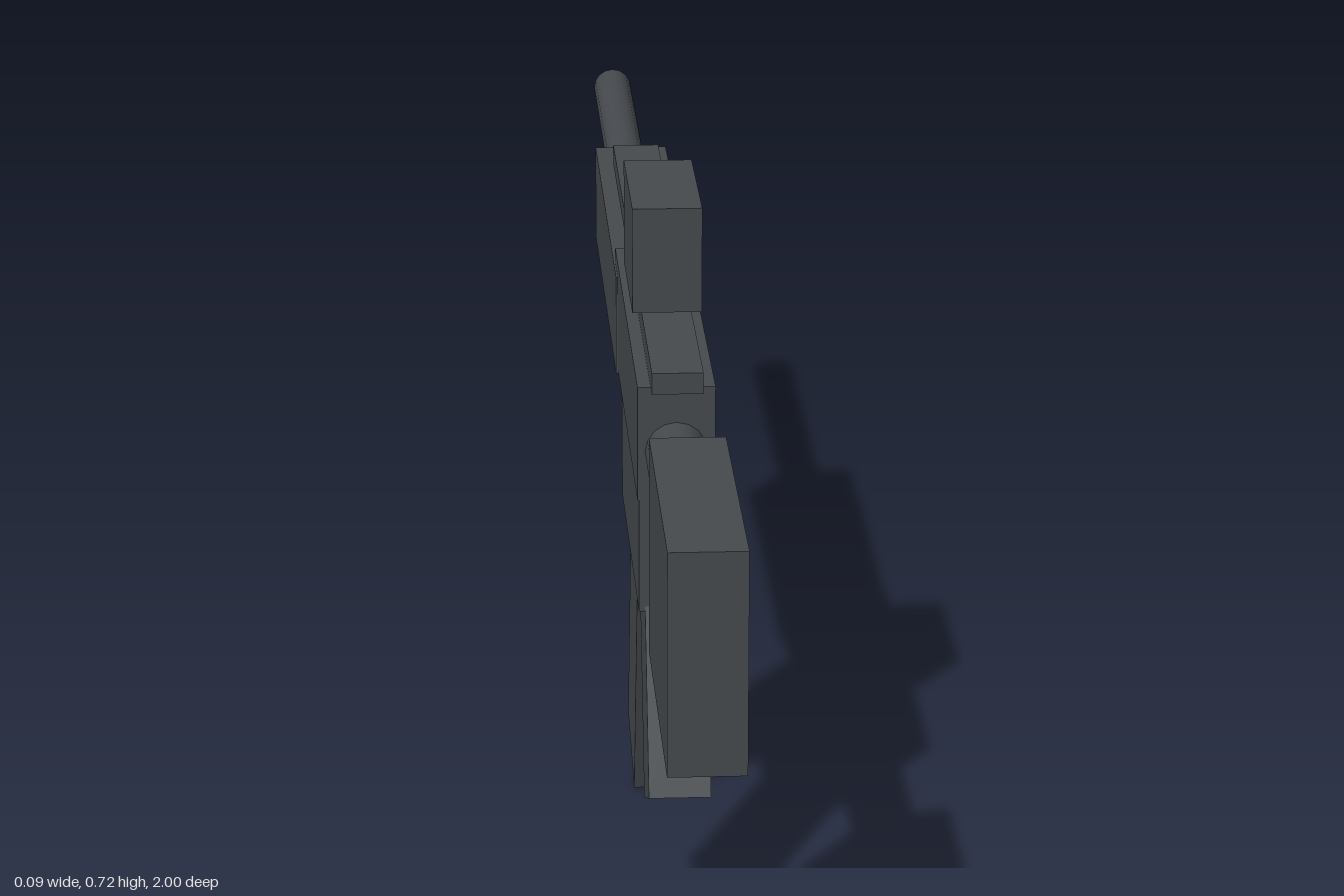
import * as THREE from 'three';

export function createModel() {
  const group = new THREE.Group();
  const gunmetal = new THREE.MeshStandardMaterial({ color: 0x464a4e });
  gunmetal.name = 'gunmetal grey';

  const add = (name, geometry) => {
    const mesh = new THREE.Mesh(geometry, gunmetal);
    mesh.name = name;
    group.add(mesh);
    return mesh;
  };

  // Upright block given by its width and its y and z limits
  const block = (name, width, y0, y1, z0, z1) =>
    add(name, new THREE.BoxGeometry(width, y1 - y0, z1 - z0))
      .position.set(0, (y0 + y1) / 2, (z0 + z1) / 2);

  // Round bar lying along z
  const bar = (name, radius, y, z0, z1) =>
    add(name, new THREE.CylinderGeometry(radius, radius, z1 - z0, 16).rotateX(Math.PI / 2))
      .position.set(0, y, (z0 + z1) / 2);

  // Leaning block, placed by the middle of its lower end
  const leaning = (name, width, length, depth, y, z, angle) => {
    const mesh = add(name, new THREE.BoxGeometry(width, length, depth).translate(0, length / 2, 0));
    mesh.position.set(0, y, z);
    mesh.rotation.x = angle;
  };

  // Rear stock and its tube
  block('stock', 0.078, 0.36, 0.59, 0.667, 1);
  bar('stockTube', 0.033, 0.508, 0.46, 0.68);

  // Body
  block('upperReceiver', 0.082, 0.455, 0.58, -0.025, 0.476);
  block('lowerReceiver', 0.079, 0.33, 0.456, 0.103, 0.476);
  block('handguard', 0.086, 0.45, 0.564, -0.506, 0.035);
  bar('barrel', 0.024, 0.508, -1, -0.5);

  // Top rail and sight
  block('topRail', 0.054, 0.579, 0.602, -0.38, 0.497);
  block('sight', 0.075, 0.606, 0.722, 0.11, 0.3);

  // Lower parts
  leaning('grip', 0.066, 0.26, 0.104, 0.128, 0.505, -0.39);
  leaning('magazine', 0.06, 0.38, 0.144, 0.019, 0.105, 0.265);

  return group;
}
